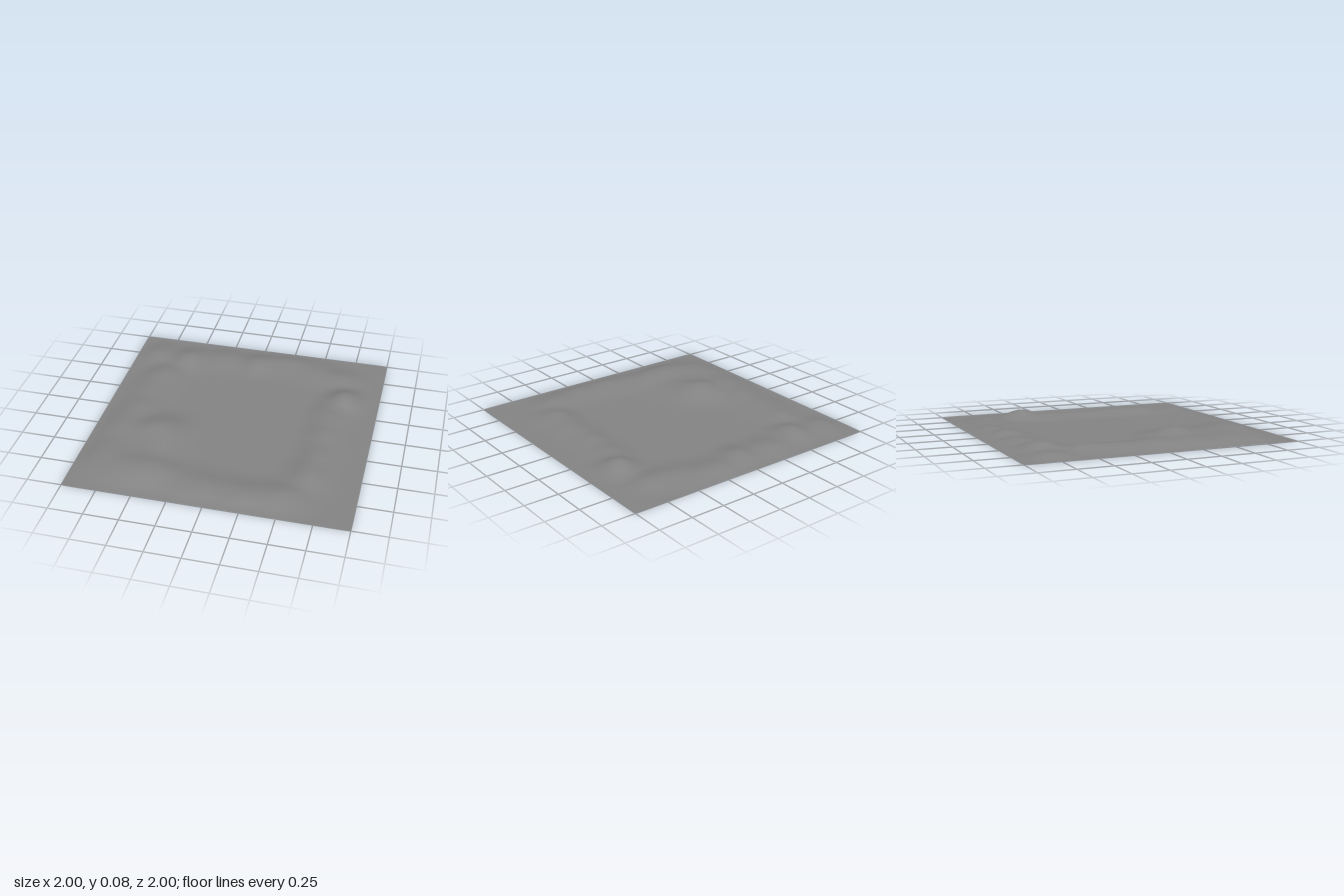
import * as THREE from 'three';

// Hills around the basin: [x, z, radiusX, radiusZ, height]
const HILLS = [
  // right ridge
  [0.74, -0.43, 0.13, 0.14, 0.07], [0.66, -0.22, 0.13, 0.18, 0.038], [0.65, 0.05, 0.13, 0.2, 0.036],
  [0.65, 0.3, 0.13, 0.2, 0.042], [0.64, 0.52, 0.14, 0.18, 0.046], [0.66, -0.72, 0.17, 0.14, 0.036],
  // front ridge
  [0.5, 0.78, 0.18, 0.15, 0.042], [0.22, 0.82, 0.26, 0.15, 0.042], [-0.1, 0.8, 0.24, 0.16, 0.042],
  // broad front left shoulder
  [-0.5, 0.73, 0.3, 0.17, 0.073], [-0.78, 0.6, 0.2, 0.26, 0.04], [-0.52, 0.28, 0.21, 0.2, 0.076],
  [-0.5, 0.48, 0.26, 0.22, 0.04],
  // left ridge
  [-0.74, 0.02, 0.17, 0.24, 0.044], [-0.8, 0.27, 0.16, 0.24, 0.042], [-0.74, -0.27, 0.16, 0.2, 0.043],
  [-0.7, -0.46, 0.14, 0.16, 0.045],
  // back ridge
  [-0.57, -0.73, 0.15, 0.15, 0.058], [-0.82, -0.76, 0.15, 0.16, 0.034], [-0.28, -0.79, 0.2, 0.15, 0.038],
  [-0.02, -0.78, 0.14, 0.14, 0.047], [0.22, -0.83, 0.2, 0.15, 0.038], [0.46, -0.78, 0.18, 0.17, 0.034],
];
const BASE = 0.004;
const SEGMENTS = 90;

const hash = (i, j) => {
  const s = Math.sin(i * 127.1 + j * 311.7) * 43758.5453;
  return s - Math.floor(s);
};

// Smooth value noise in -1..1
function noise(x, z) {
  const i = Math.floor(x), j = Math.floor(z);
  const u = THREE.MathUtils.smoothstep(x - i, 0, 1);
  const v = THREE.MathUtils.smoothstep(z - j, 0, 1);
  const a = THREE.MathUtils.lerp(hash(i, j), hash(i + 1, j), u);
  const b = THREE.MathUtils.lerp(hash(i, j + 1), hash(i + 1, j + 1), u);
  return THREE.MathUtils.lerp(a, b, v) * 2 - 1;
}

// Hills blend softly, carry light erosion, and fade to the border and the flat basin
function heightAt(x, z) {
  let sum = 0;
  for (const [hx, hz, rx, rz, h] of HILLS) {
    const d = ((x - hx) / rx) ** 2 + ((z - hz) / rz) ** 2;
    sum += (h * Math.exp(-d)) ** 2;
  }
  const eroded = Math.sqrt(sum) * (1 + 0.1 * noise(x * 7 + 20, z * 7 + 20));
  const border = THREE.MathUtils.smoothstep(1 - Math.max(Math.abs(x), Math.abs(z)), -0.08, 0.12);
  return BASE + Math.max(0, eroded - 0.003) * border;
}

export function createModel() {
  const group = new THREE.Group();
  group.name = 'landscape';

  // One thin sheet of ground, displaced upwards
  const geometry = new THREE.PlaneGeometry(2, 2, SEGMENTS, SEGMENTS).rotateX(-Math.PI / 2);
  const pos = geometry.attributes.position;
  for (let i = 0; i < pos.count; i++) pos.setY(i, heightAt(pos.getX(i), pos.getZ(i)));
  geometry.computeVertexNormals();

  const terrain = new THREE.Mesh(
    geometry,
    new THREE.MeshStandardMaterial({ color: 0x828282, side: THREE.DoubleSide }),
  );
  terrain.name = 'terrain';
  group.add(terrain);
  return group;
}
